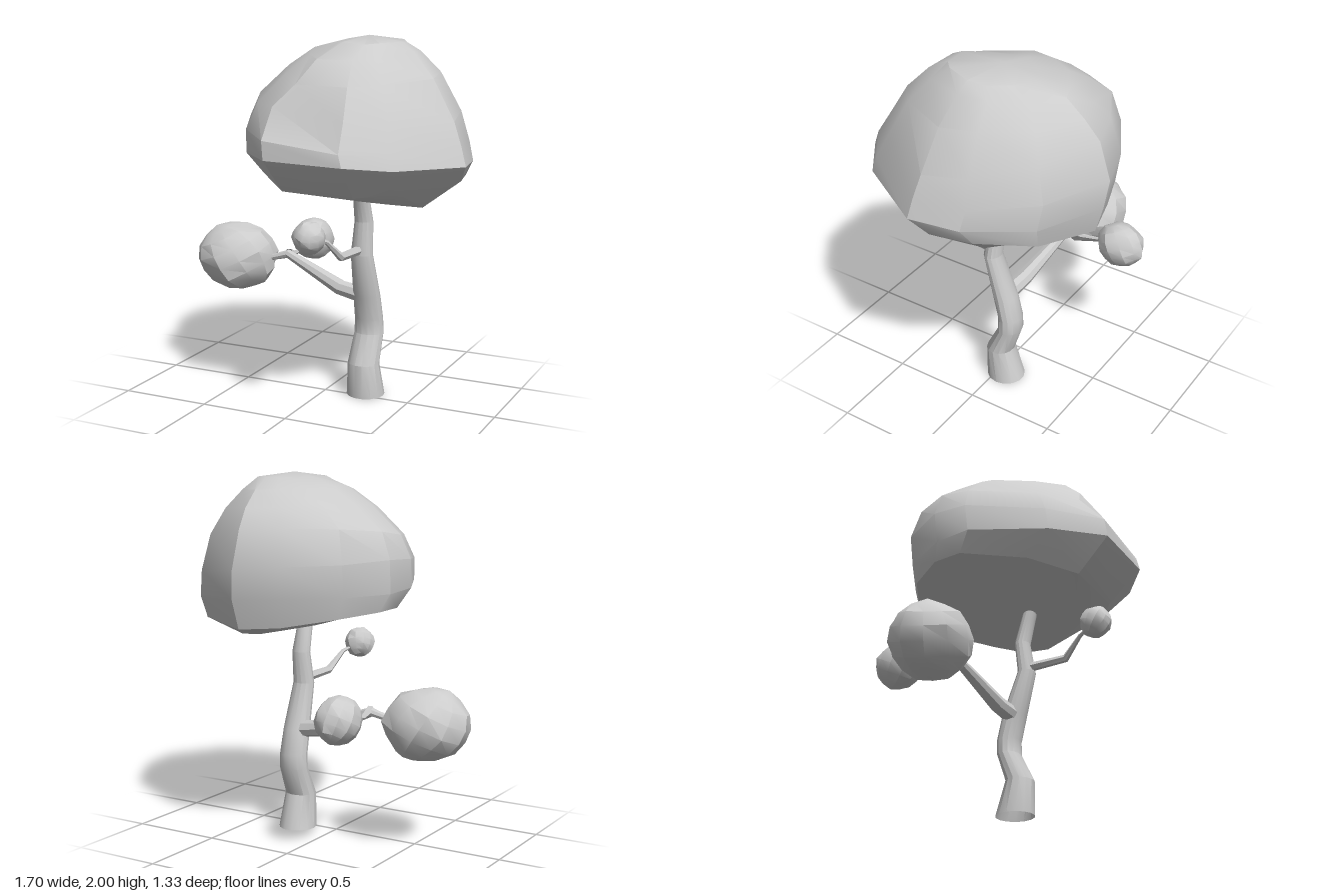
import * as THREE from 'three';
import { toCreasedNormals } from 'three/addons/utils/BufferGeometryUtils.js';

const V = (x, y, z) => new THREE.Vector3(x, y, z);
const material = new THREE.MeshStandardMaterial({ color: 0xcccccc, side: THREE.DoubleSide });

// Soft shading with sharp edges; enlarged while creasing so small parts keep detail
function crease(geometry, angle) {
  geometry.scale(10, 10, 10);
  return toCreasedNormals(geometry, angle).scale(0.1, 0.1, 0.1);
}

function addMesh(group, name, geometry) {
  const mesh = new THREE.Mesh(geometry, material);
  mesh.name = name;
  group.add(mesh);
}

// Skin a list of equal-length closed rings
function loft(rings, angle) {
  const points = [];
  const tri = new THREE.Triangle();
  const face = (a, b, c) => {
    if (tri.set(a, b, c).getArea() > 1e-8) points.push(a, b, c);
  };
  for (let i = 0; i < rings.length - 1; i++) {
    const n = rings[i].length;
    for (let k = 0; k < n; k++) {
      const m = (k + 1) % n;
      face(rings[i][k], rings[i][m], rings[i + 1][k]);
      face(rings[i][m], rings[i + 1][m], rings[i + 1][k]);
    }
  }
  return crease(new THREE.BufferGeometry().setFromPoints(points), angle);
}

// Tapered limb through [x, y, z, radius, depth radius] stations; level keeps rings horizontal
function limb(stations, sides, level = false) {
  const path = stations.map(([x, y, z]) => V(x, y, z));
  const rings = path.map((p, i) => {
    const [, , , radius, depth = radius] = stations[i];
    const before = path[Math.max(i - 1, 0)], after = path[Math.min(i + 1, path.length - 1)];
    const t = level ? V(0, 1, 0) : after.clone().sub(before).normalize();
    const n = (level ? V(0, 0, 1) : V(0, 1, 0)).cross(t).normalize();
    const b = t.clone().cross(n);
    return Array.from({ length: sides }, (_, k) => {
      const a = (k / sides) * Math.PI * 2;
      return p.clone()
        .addScaledVector(n, Math.cos(a) * radius)
        .addScaledVector(b, Math.sin(a) * depth);
    });
  });
  return loft(rings, 0.48);
}

// Lumpy low-poly ball of leaves
function leafBall(center, radii, phase) {
  const g = new THREE.SphereGeometry(1, 11, 8).rotateZ(0.5).rotateY(phase);
  const pos = g.attributes.position, v = V();
  for (let i = 0; i < pos.count; i++) {
    v.fromBufferAttribute(pos, i);
    const bump = Math.sin(v.x * 5 + phase) * Math.sin(v.y * 4 + phase * 2) * Math.cos(v.z * 5 - phase);
    v.multiplyScalar(1 + 0.07 * bump);
    pos.setXYZ(i, v.x, v.y, v.z);
  }
  g.scale(...radii).translate(...center);
  return crease(g, 0.52);
}

// Big canopy: one irregular outline, resized and tilted at each level
function canopy() {
  const outline = [
    [0.23, -0.67], [0.57, -0.49], [0.79, -0.18], [0.845, 0.10], [0.61, 0.51], [0.40, 0.66],
    [-0.04, 0.645], [-0.27, 0.395], [-0.46, 0], [-0.445, -0.2], [-0.3, -0.44], [-0.01, -0.6],
  ].map(([x, z]) => [(x - 0.1925) / 0.6525, (z + 0.005) / 0.665]);

  // x min, x max, z min, z max, then height at left edge, right edge, back, front
  const levels = [
    [0.08, 0.45, -0.27, 0.22, 1.97, 1.97, 1.97, 1.97],
    [-0.08, 0.52, -0.42, 0.35, 1.925, 1.92, 1.905, 1.89],
    [-0.23, 0.64, -0.52, 0.47, 1.83, 1.80, 1.82, 1.77],
    [-0.405, 0.765, -0.60, 0.57, 1.68, 1.59, 1.72, 1.62],
    [-0.46, 0.815, -0.665, 0.655, 1.55, 1.45, 1.51, 1.48],
    [-0.455, 0.845, -0.645, 0.665, 1.39, 1.35, 1.35, 1.40],
    [-0.41, 0.79, -0.60, 0.48, 1.295, 1.27, 1.20, 1.215],
    [-0.12, 0.57, -0.38, 0.28, 1.225, 1.10, 1.15, 1.19],
  ];
  const rings = levels.map(([x0, x1, z0, z1, yl, yr, yb, yf], i) =>
    outline.map(([u, w], k) => {
      const mean = (yl + yr + yb + yf) / 4, saddle = (yl + yr - yb - yf) / 4;
      const tilt = u * (yr - yl) / 2 + w * (yf - yb) / 2 + saddle * (u * u - w * w);
      const wobble = 0.005 * Math.sin(k * 2.3 + i * 1.7);
      return V((x0 + x1) / 2 + u * (x1 - x0) / 2, mean + tilt + wobble, (z0 + z1) / 2 + w * (z1 - z0) / 2);
    }));

  // Upper corner of the front overhang, set back above the rim
  rings[3][6].set(-0.06, 1.66, 0.5);

  const pole = (x, y, z) => outline.map(() => V(x, y, z));
  return loft([pole(0.23, 2, -0.06), ...rings, pole(0.23, 1.17, -0.02)], 0.55);
}

export function createModel() {
  const tree = new THREE.Group();
  tree.name = 'tree';

  // Crooked trunk, open at the foot
  addMesh(tree, 'trunk', limb([
    [0.227, 0, -0.05, 0.106, 0.108], [0.227, 0.19, -0.018, 0.09, 0.078],
    [0.23, 0.35, -0.085, 0.085, 0.064], [0.23, 0.43, -0.085, 0.082, 0.064],
    [0.23, 0.57, -0.052, 0.077, 0.066], [0.232, 0.82, 0.025, 0.063, 0.048],
    [0.232, 1.0, 0, 0.053, 0.043], [0.232, 1.13, 0.035, 0.046, 0.04], [0.232, 1.22, 0.06, 0.042, 0.038],
  ], 14, true));

  // Branches
  addMesh(tree, 'sideBranch', limb([
    [0.23, 0.565, -0.05, 0.05], [0.06, 0.59, -0.07, 0.045],
    [-0.3, 0.735, -0.13, 0.026], [-0.46, 0.69, -0.11, 0.013],
  ], 8));
  addMesh(tree, 'backTwig', limb([
    [-0.29, 0.745, -0.12, 0.024], [-0.3, 0.72, -0.22, 0.014], [-0.305, 0.745, -0.38, 0.006],
  ], 6));
  addMesh(tree, 'frontBranch', limb([
    [0.225, 0.845, 0.02, 0.026], [0.22, 0.855, 0.27, 0.022],
    [0.185, 0.955, 0.375, 0.012], [0.15, 0.985, 0.45, 0.006],
  ], 6));

  // Foliage
  addMesh(tree, 'canopy', canopy());
  addMesh(tree, 'sideFoliage', leafBall([-0.617, 0.70, -0.10], [0.235, 0.196, 0.22], 0.4));
  addMesh(tree, 'backFoliage', leafBall([-0.305, 0.755, -0.475], [0.119, 0.127, 0.137], 1.3));
  addMesh(tree, 'frontFoliage', leafBall([0.14, 0.995, 0.49], [0.087, 0.087, 0.088], 2.1));

  return tree;
}
